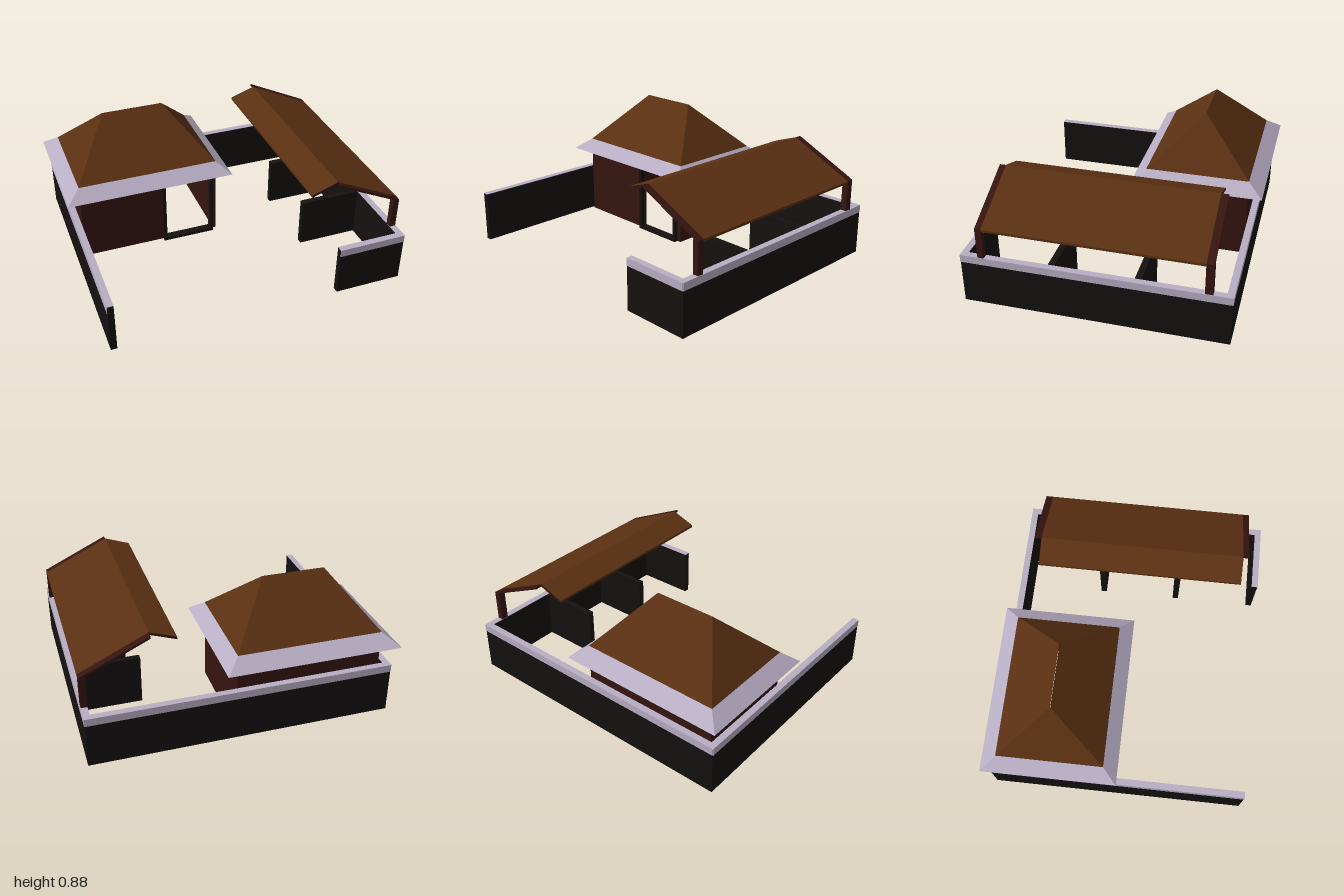
import * as THREE from 'three';

const mat = (color, opts = {}) => new THREE.MeshStandardMaterial({ color, ...opts });
const stone = mat(0x14110f);
const capping = mat(0xb8aec4);
const timber = mat(0x35140f);
const thatch = mat(0x5a3012);
const thatchThin = mat(0x5a3012, { side: THREE.DoubleSide });
const eaveThin = mat(0xb8aec4, { side: THREE.DoubleSide });

function add(parent, name, geometry, material) {
  const mesh = new THREE.Mesh(geometry, material);
  mesh.name = name;
  parent.add(mesh);
  return mesh;
}

// box given by its min and max on each axis
function box(parent, name, material, x0, x1, y0, y1, z0, z1) {
  const g = new THREE.BoxGeometry(x1 - x0, y1 - y0, z1 - z0);
  g.translate((x0 + x1) / 2, (y0 + y1) / 2, (z0 + z1) / 2);
  return add(parent, name, g, material);
}

// open sloped shell joining two level rectangles [x0, x1, z0, z1, y]
function slopedShell(low, high) {
  const corners = ([x0, x1, z0, z1, y]) => [[x0, y, z1], [x1, y, z1], [x1, y, z0], [x0, y, z0]];
  const a = corners(low), b = corners(high), pos = [];
  for (let i = 0; i < 4; i++) {
    const j = (i + 1) % 4;
    pos.push(...a[i], ...a[j], ...b[j], ...a[i], ...b[j], ...b[i]);
  }
  const g = new THREE.BufferGeometry();
  g.setAttribute('position', new THREE.Float32BufferAttribute(pos, 3));
  g.computeVertexNormals();
  return g;
}

// profile in x and y, extruded from z0 to z1
function extrudeZ(points, z0, z1) {
  const shape = new THREE.Shape(points.map(([x, y]) => new THREE.Vector2(x, y)));
  return new THREE.ExtrudeGeometry(shape, { depth: z1 - z0, bevelEnabled: false }).translate(0, 0, z0);
}

function createYardWall() {
  const yard = new THREE.Group();
  yard.name = 'yardWall';
  const H = 0.34, band = 0.29, t = 0.003;
  // [name, x0, x1, z0, z1, outward x, outward z]
  const runs = [
    ['leftWall', -0.96, -0.92, -0.82, 0.86, -1, 0],
    ['backWall', -0.96, 1, -0.82, -0.78, 0, -1],
    ['rightWall', 0.96, 1, -0.82, 0.86, 1, 0],
    ['frontWall', 0.545, 1, 0.82, 0.86, 0, 1],
  ];
  for (const [name, x0, x1, z0, z1, ox, oz] of runs) {
    box(yard, name, stone, x0, x1, 0, H - t, z0, z1);
    box(yard, name + 'Top', capping, x0, x1, H - t, H, z0, z1);
    // pale band along the outer face
    const bx = ox > 0 ? [x1, x1 + t] : ox < 0 ? [x0 - t, x0] : [x0, x1];
    const bz = oz > 0 ? [z1, z1 + t] : oz < 0 ? [z0 - t, z0] : [z0, z1];
    box(yard, name + 'Band', capping, ...bx, band, H, ...bz);
  }
  // stall dividers under the shelter
  for (const z of [0.29, -0.25]) box(yard, 'stallDivider', stone, 0.545, 0.96, 0, 0.335, z - 0.02, z + 0.02);
  return yard;
}

function createHouse() {
  const house = new THREE.Group();
  house.name = 'house';
  const x0 = -0.9, x1 = 0.05, z0 = -0.76, z1 = -0.07, top = 0.53, t = 0.02;
  box(house, 'houseBackWall', timber, x0, x1, 0, top, z0, z0 + t);
  box(house, 'houseLeftWall', timber, x0, x0 + t, 0, top, z0 + t, z1 - t);
  box(house, 'houseRightWall', timber, x1 - t, x1, 0, top, z0 + t, z1 - t);
  // front wall with its doorway
  const d0 = -0.32, d1 = 0, dTop = 0.465;
  add(house, 'houseFrontWall', extrudeZ([[x0, 0], [d0, 0], [d0, dTop], [d1, dTop],
    [d1, 0], [x1, 0], [x1, top], [x0, top]], z1 - t, z1), timber);
  // door frame
  const f0 = z1 - t, f1 = -0.04, w = 0.022;
  for (const x of [d0 - w, d1]) box(house, 'doorJamb', stone, x, x + w, 0, dTop + w, f0, f1);
  box(house, 'doorSill', stone, d0, d1, 0, w, f0, f1);
  box(house, 'doorLintel', stone, d0, d1, dTop, dTop + w, f0, f1);
  // pale eaves and hipped roof
  const plate = [x0, x1, z0, z1, 0.56];
  add(house, 'eaves', slopedShell([-0.995, 0.14, -0.86, 0.02, 0.485], plate), eaveThin);
  add(house, 'hippedRoof', slopedShell(plate, [-0.635, -0.22, -0.416, -0.414, 0.885]), thatchThin);
  return house;
}

function createShelter() {
  const shelter = new THREE.Group();
  shelter.name = 'shelter';
  const t = 0.016, zBack = -0.655, zFront = 0.705;
  const eave = [0.395, 0.695], ridge = [0.565, 0.755], low = [1, 0.548];
  const drop = ([x, y]) => [x, y - t];
  const slab = (a, b) => [drop(a), drop(b), b, a];
  add(shelter, 'shortRoofSlope', extrudeZ(slab(eave, ridge), zBack, zFront), thatch);
  add(shelter, 'longRoofSlope', extrudeZ(slab(ridge, low), zBack, zFront), thatch);
  // end rafters and the posts on the wall
  for (const [a, b] of [[zBack - 0.048, zBack], [zFront, zFront + 0.04]]) {
    add(shelter, 'rafter', extrudeZ(slab(ridge, low), a, b), timber);
    box(shelter, 'post', timber, 0.96, 1, 0.34, 0.545, a, b);
  }
  // dark trim on the ends of the short slope
  for (const z of [zBack - 0.002, zFront]) {
    add(shelter, 'endTrim', extrudeZ(slab(eave, ridge), z, z + 0.002), timber);
  }
  return shelter;
}

export function createModel() {
  const model = new THREE.Group();
  model.name = 'farmyard';
  model.add(createYardWall(), createHouse(), createShelter());
  return model;
}
